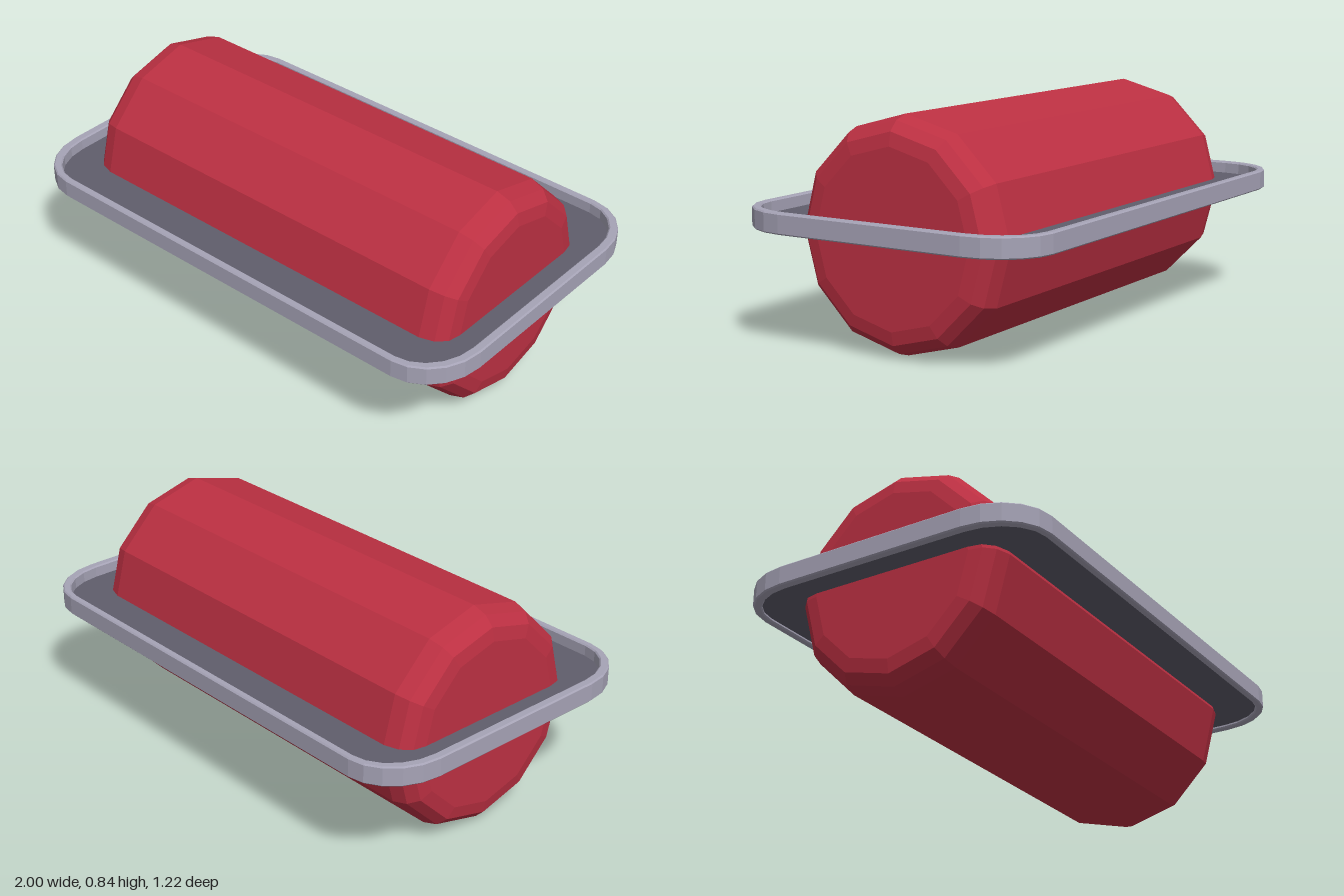
import * as THREE from 'three';

const red = new THREE.MeshStandardMaterial({ color: 0xbc3042, flatShading: true });
red.name = 'red shell';
const silver = new THREE.MeshStandardMaterial({ color: 0xa6a3b6, flatShading: true });
silver.name = 'pale grey rim';
const grey = new THREE.MeshStandardMaterial({ color: 0x605e6b, flatShading: true });
grey.name = 'dark grey floor';

const CENTRE_Y = 0.422;

// Rounded rectangle outline, elliptical corners with a few straight segments
function outline(halfX, halfZ, cornerX, cornerZ, segments = 5) {
  const points = [];
  const corners = [[1, 1], [-1, 1], [-1, -1], [1, -1]];
  corners.forEach(([sx, sz], quarter) => {
    for (let i = 0; i <= segments; i++) {
      const a = (quarter + i / segments) * Math.PI / 2;
      points.push(new THREE.Vector2(
        sx * (halfX - cornerX) + Math.cos(a) * cornerX,
        sz * (halfZ - cornerZ) + Math.sin(a) * cornerZ));
    }
  });
  return points;
}

// Horizontal slab from y0 to y1, optionally bevelled
function slab(shape, y0, y1, bevel, material, name) {
  const geometry = new THREE.ExtrudeGeometry(shape, {
    depth: y1 - y0 - 2 * bevel, bevelEnabled: bevel > 0, bevelSize: bevel,
    bevelThickness: bevel, bevelOffset: -bevel, bevelSegments: 1,
  });
  geometry.rotateX(-Math.PI / 2);
  geometry.translate(0, y0 + bevel, 0);
  const mesh = new THREE.Mesh(geometry, material);
  mesh.name = name;
  return mesh;
}

export function createModel() {
  const group = new THREE.Group();
  group.name = 'barrelWithTray';

  // Twelve-sided barrel lying along x, with rounded ends
  const end = [[0, 0.865], [0.32, 0.865], [0.37, 0.855], [0.405, 0.82], [0.422, 0.765]];
  const profile = [
    ...end.map(([r, x]) => new THREE.Vector2(r, -x)),
    ...end.map(([r, x]) => new THREE.Vector2(r, x)).reverse(),
  ];
  const barrelGeometry = new THREE.LatheGeometry(profile, 12);
  barrelGeometry.rotateZ(-Math.PI / 2);
  const barrel = new THREE.Mesh(barrelGeometry, red);
  barrel.name = 'barrel';
  barrel.position.y = CENTRE_Y;
  group.add(barrel);

  // Raised rim around the tray
  const rimShape = new THREE.Shape(outline(1, 0.608, 0.2, 0.23));
  rimShape.holes.push(new THREE.Path(outline(0.965, 0.58, 0.17, 0.205).reverse()));
  group.add(slab(rimShape, 0.424, 0.5, 0.005, silver, 'trayRim'));

  // Tray floor set inside the rim
  const floorShape = new THREE.Shape(outline(0.972, 0.587, 0.175, 0.21));
  group.add(slab(floorShape, 0.435, 0.455, 0, grey, 'trayFloor'));

  return group;
}
